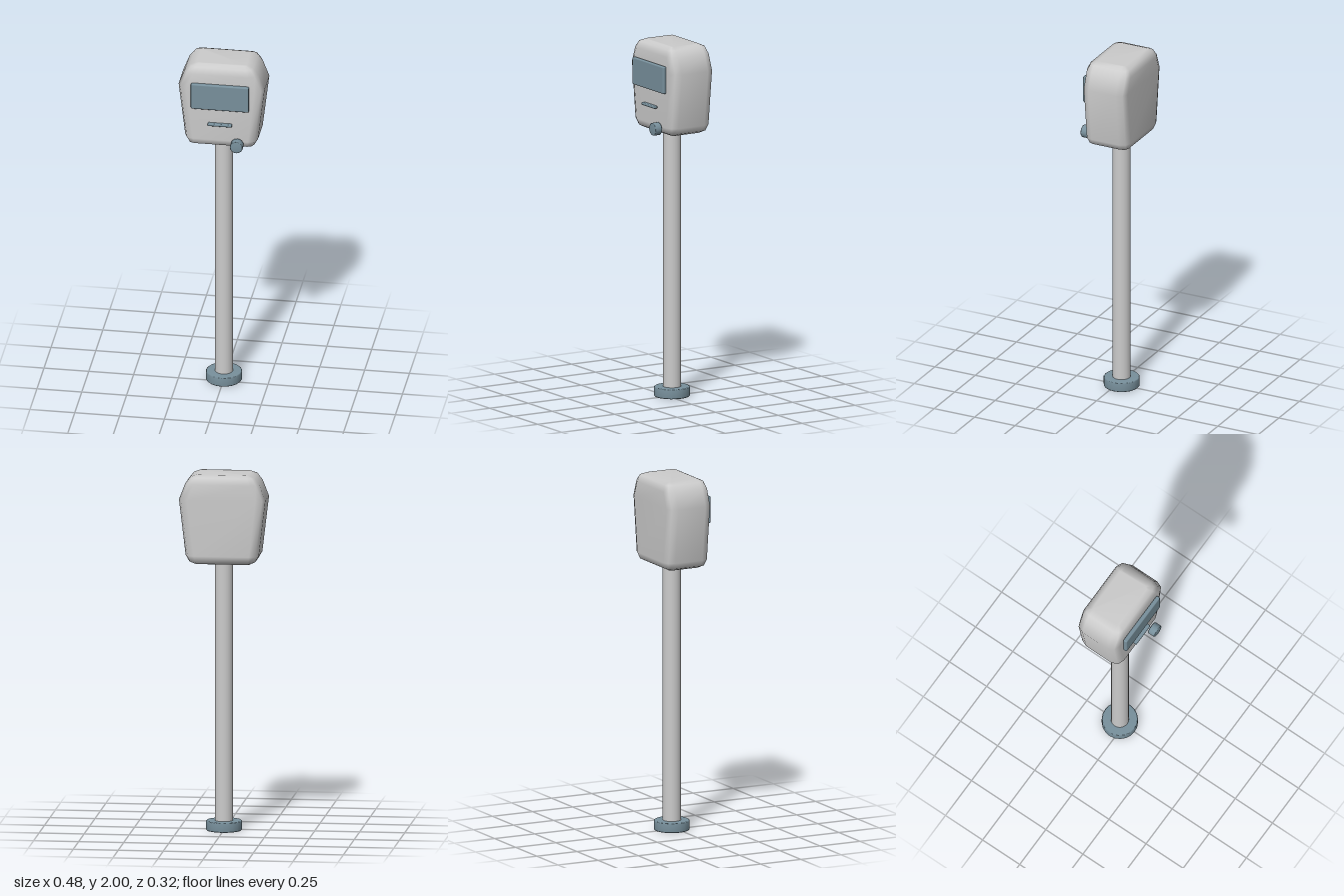
import * as THREE from 'three';
import { RoundedBoxGeometry } from 'three/addons/geometries/RoundedBoxGeometry.js';

const AXIS_Z = -0.028; // pole, base and housing share this depth

// Loft of rounded rectangles; each ring is [y, halfWidth, halfDepth, cornerRadius].
function loftRoundedRects(rings, cornerSegments) {
  const positions = [], index = [];
  const count = 4 * (cornerSegments + 1);
  for (const [y, hw, hd, r] of rings) {
    for (let c = 0; c < 4; c++) {
      const sx = c === 0 || c === 3 ? 1 : -1;
      const sz = c < 2 ? 1 : -1;
      for (let s = 0; s <= cornerSegments; s++) {
        const a = (c + s / cornerSegments) * Math.PI / 2;
        positions.push(sx * (hw - r) + r * Math.cos(a), y, sz * (hd - r) + r * Math.sin(a));
      }
    }
  }
  for (let k = 0; k < rings.length - 1; k++) {
    for (let i = 0; i < count; i++) {
      const a = k * count + i, b = k * count + (i + 1) % count;
      index.push(a, a + count, b, b, a + count, b + count);
    }
  }
  // Flat caps
  const top = (rings.length - 1) * count;
  for (let i = 1; i < count - 1; i++) {
    index.push(0, i, i + 1);
    index.push(top, top + i + 1, top + i);
  }
  const geometry = new THREE.BufferGeometry();
  geometry.setAttribute('position', new THREE.Float32BufferAttribute(positions, 3));
  geometry.setIndex(index);
  geometry.computeVertexNormals();
  return geometry;
}

// Solid disc with small chamfers, standing on y = 0
function chamferedDisc(radius, height, chamfer, sides) {
  const profile = [
    [0, 0], [radius - chamfer, 0], [radius, chamfer],
    [radius, height - chamfer], [radius - chamfer, height], [0, height],
  ].map(([x, y]) => new THREE.Vector2(x, y));
  return new THREE.LatheGeometry(profile, sides);
}

export function createModel() {
  const model = new THREE.Group();
  const grey = new THREE.MeshStandardMaterial({ color: 0xcccccc });
  const slate = new THREE.MeshStandardMaterial({ color: 0x78909c });

  const add = (name, geometry, material, x, y, z) => {
    const mesh = new THREE.Mesh(geometry, material);
    mesh.name = name;
    mesh.position.set(x, y, z);
    model.add(mesh);
    return mesh;
  };

  // Ground plate and pole
  add('base', chamferedDisc(0.1, 0.055, 0.005, 20), slate, 0, 0, AXIS_Z);
  add('pole', new THREE.CylinderGeometry(0.05, 0.05, 1.47, 24), grey, 0, 0.785, AXIS_Z);

  // Meter housing: widest near the top, tapering to the pole
  add('housing', loftRoundedRects([
    [1.5, 0.15, 0.09, 0.012],
    [1.515, 0.183, 0.12, 0.036],
    [1.55, 0.203, 0.134, 0.05],
    [1.86, 0.24, 0.134, 0.05],
    [1.95, 0.205, 0.134, 0.05],
    [1.986, 0.177, 0.12, 0.036],
    [2.0, 0.14, 0.09, 0.012],
  ], 2), grey, 0, 0, AXIS_Z);

  // Display, coin slot and knob on the front
  add('screen', new RoundedBoxGeometry(0.324, 0.154, 0.024, 2, 0.008), slate, 0, 1.822, 0.119);
  add('coinSlot', new RoundedBoxGeometry(0.136, 0.016, 0.024, 2, 0.006), slate, 0, 1.653, 0.119);
  add('knob', chamferedDisc(0.036, 0.044, 0.004, 16), slate, 0.097, 1.54, 0.117).rotation.x = Math.PI / 2;

  return model;
}
